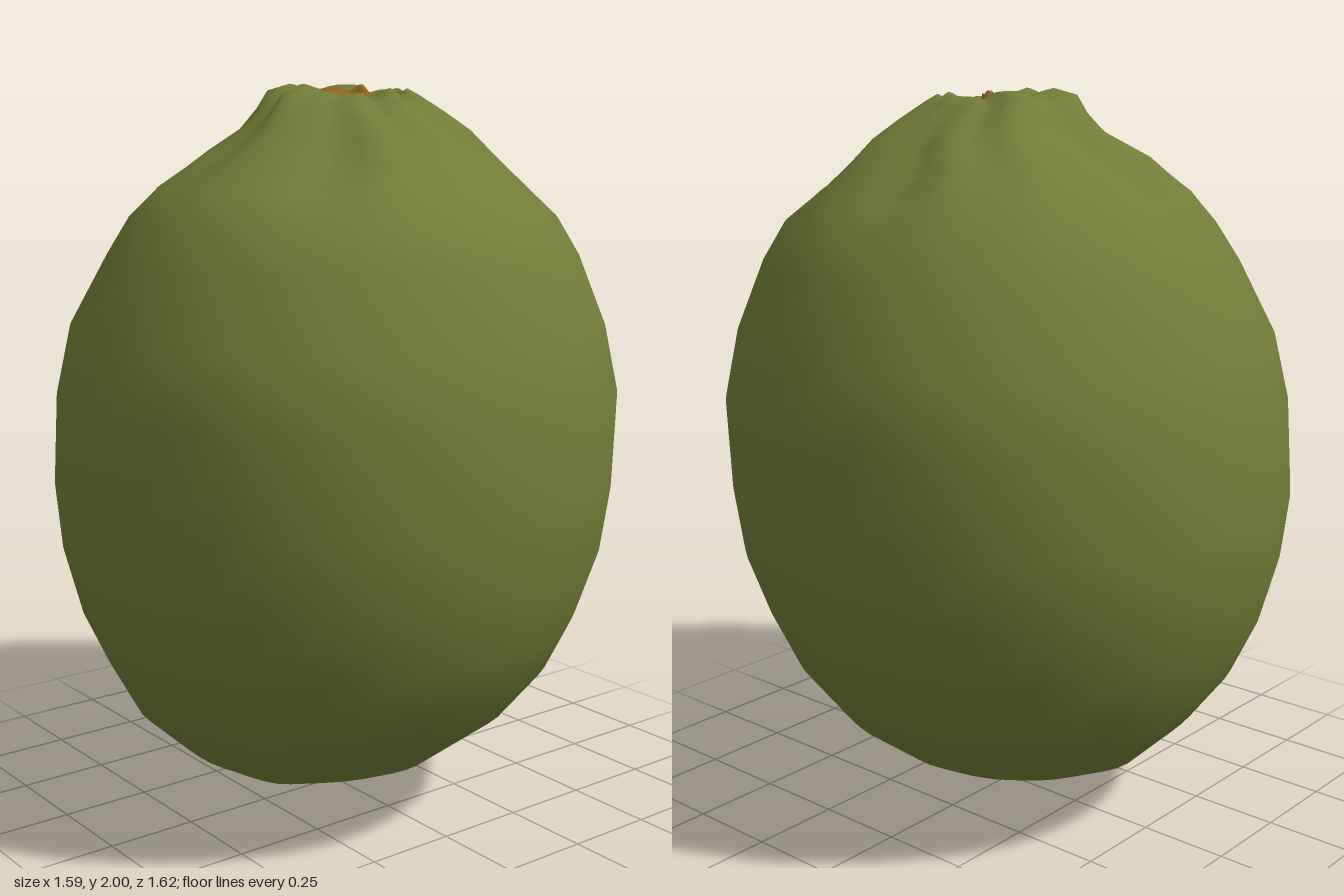
import * as THREE from 'three';

const SEG = 56;
const peel = new THREE.MeshStandardMaterial({ color: 0x727c38 });
peel.name = 'green peel';
const scar = new THREE.MeshStandardMaterial({ color: 0x90601f });
scar.name = 'brown stem scar';

// Peel cross-sections: height, left-most x, right-most x, back z, front z
const SECTIONS = [
  [0, 0.03, 0.031, 0.01, 0.011],
  [0.015, -0.01, 0.075, -0.03, 0.045],
  [0.05, -0.09, 0.125, -0.09, 0.08],
  [0.085, -0.21, 0.16, -0.17, 0.15],
  [0.12, -0.37, 0.23, -0.31, 0.26],
  [0.17, -0.455, 0.35, -0.42, 0.39],
  [0.29, -0.585, 0.515, -0.55, 0.54],
  [0.43, -0.665, 0.62, -0.66, 0.66],
  [0.58, -0.735, 0.69, -0.73, 0.735],
  [0.75, -0.78, 0.755, -0.78, 0.785],
  [0.93, -0.795, 0.78, -0.805, 0.81],
  [1.18, -0.785, 0.79, -0.79, 0.81],
  [1.36, -0.745, 0.755, -0.745, 0.765],
  [1.55, -0.635, 0.67, -0.655, 0.685],
  [1.65, -0.575, 0.61, -0.585, 0.62],
  [1.73, -0.49, 0.54, -0.51, 0.51],
  [1.81, -0.36, 0.44, -0.40, 0.40],
  [1.87, -0.285, 0.37, -0.275, 0.325],
  [1.92, -0.235, 0.30, -0.215, 0.26],
  [1.965, -0.19, 0.235, -0.185, 0.205],
  [1.985, -0.13, 0.2, -0.13, 0.165],
];
// Stem scar dish, starting at the rim shared with the peel
const RIM = [1.965, -0.065, 0.2, -0.085, 0.15];
const DISH = [RIM, [1.975, -0.02, 0.155, -0.045, 0.11], [1.96, 0.03, 0.11, 0, 0.07], [1.965, 0.069, 0.071, 0.034, 0.036]];

// Irregular folds running round the fruit, between about -1 and 1
const fold = (a, y) =>
  0.45 * Math.sin(5 * a + 1 + 6 * y) + 0.35 * Math.sin(8 * a + 2.2 - 9 * y) + 0.2 * Math.sin(13 * a + 0.5);

function ringPoint([y, x0, x1, z0, z1], a) {
  const cx = (x0 + x1) / 2, cz = (z0 + z1) / 2;
  // Body is slightly elongated along one diagonal
  let r = 1 - 0.025 * Math.sin(2 * a);
  const top = THREE.MathUtils.smoothstep(y, 1.65, 1.85);
  const low = 1 - THREE.MathUtils.smoothstep(y, 0.1, 0.4);
  const f = fold(a, y);
  r += f * (0.07 * top + 0.035 * low);
  // Small dimple on the left flank
  const d = ((y - 0.58) / 0.09) ** 2 + ((a - 0.22) / 0.12) ** 2;
  r -= 0.022 * Math.exp(-d);
  // Bumpy crown, with the rim a little lower toward the front
  const lift = top * (0.018 * f - 0.012 * Math.sin(a));
  return [cx + Math.cos(a) * r * (x1 - x0) / 2, Math.min(2, y + lift), cz + Math.sin(a) * r * (z1 - z0) / 2];
}

// Skin stacked cross-sections with a smooth closed surface
function skin(sections) {
  const pos = [], index = [];
  sections.forEach((s, i) => {
    for (let j = 0; j < SEG; j++) {
      pos.push(...ringPoint(s, (j / SEG) * Math.PI * 2));
      if (i === sections.length - 1) continue;
      const a = i * SEG + j, b = i * SEG + (j + 1) % SEG;
      index.push(a, a + SEG, b, b, a + SEG, b + SEG);
    }
  });
  const geo = new THREE.BufferGeometry();
  geo.setAttribute('position', new THREE.Float32BufferAttribute(pos, 3));
  geo.setIndex(index);
  geo.computeVertexNormals();
  return geo;
}

export function createModel() {
  const group = new THREE.Group();
  group.name = 'citrusFruit';
  const body = new THREE.Mesh(skin([...SECTIONS, RIM]), peel);
  body.name = 'fruitBody';
  const stem = new THREE.Mesh(skin(DISH), scar);
  stem.name = 'stemScar';
  group.add(body, stem);
  return group;
}
